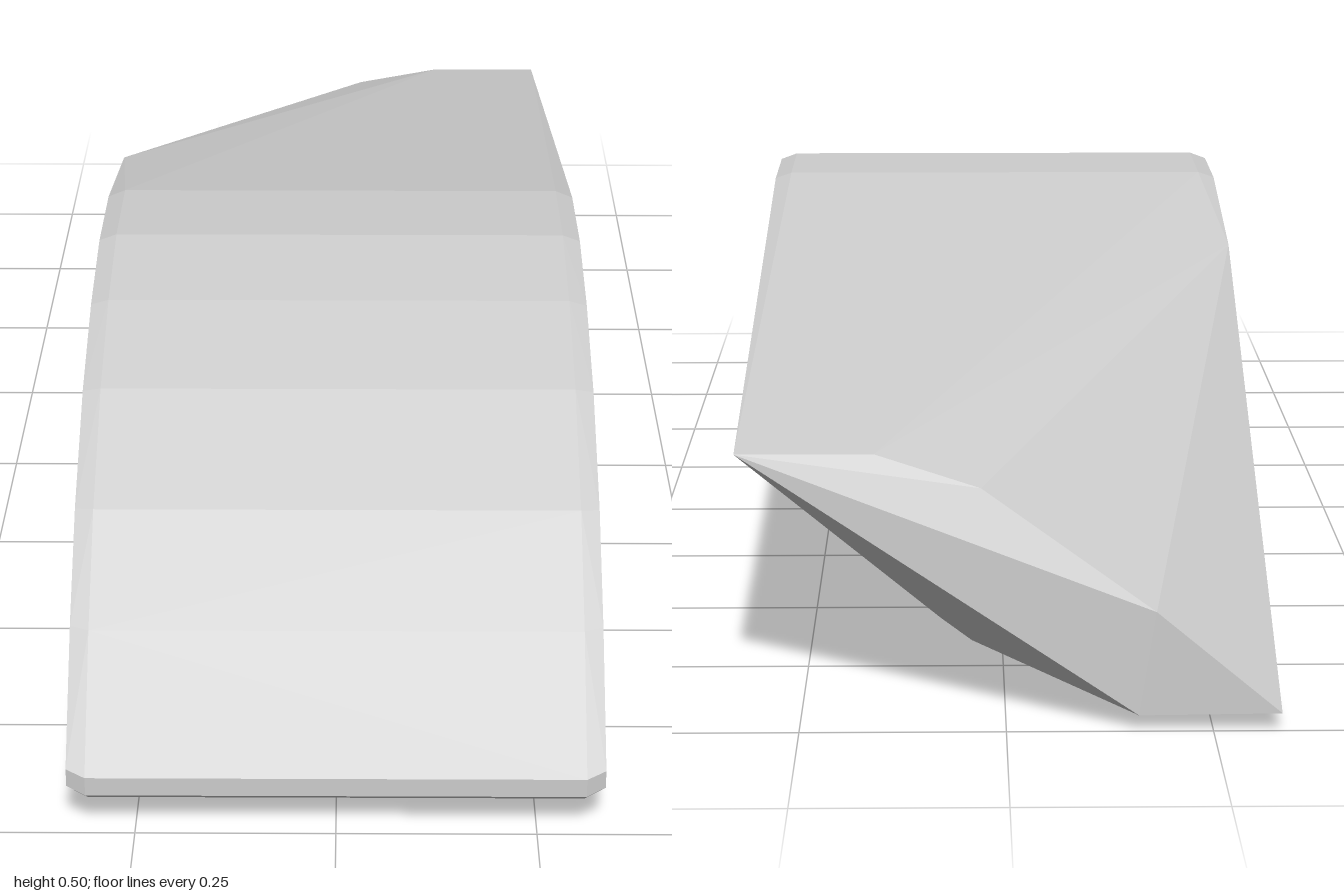
import * as THREE from 'three';
import { ConvexGeometry } from 'three/addons/geometries/ConvexGeometry.js';

// Arched side profile as [z, y], from the underside around the nose to the crown
const PROFILE = [
  [0.7, 0.008], [0.84, 0.008], [0.92, 0.014], [0.97, 0.033], [1, 0.055], [1, 0.08],
  [0.88, 0.22], [0.76, 0.327], [0.6, 0.42], [0.44, 0.475], [0.28, 0.503], [0.11, 0.5],
];

export function createModel() {
  const points = [];
  const add = (x, y, z) => points.push(new THREE.Vector3(x, y, z));

  // Arched front, with a narrow bevel along both sides
  for (const side of [-1, 1]) {
    for (const [z, y] of PROFILE) {
      add(side * 0.31, y, z);
      add(side * 0.334, 0.25 + (y - 0.25) * 0.965, 0.3 + (z - 0.3) * 0.985);
    }
    add(side * 0.338, 0.25, 0.3);
  }

  // Raised tip at the back left
  add(0.33, 0.32, -0.9);
  add(0.16, 0.32, -0.9);
  add(0.03, 0.285, -0.93);

  // Back right corner, sloping down from the crown
  add(-0.333, 0.44, -0.17);
  add(-0.333, 0.022, -1);
  add(-0.18, 0.15, -1);
  add(-0.16, 0.02, -1);

  // Slightly bowed underside and the corner of the undercut
  add(0.08, 0, 0.3);
  add(0.04, 0.005, -0.66);
  add(0.08, 0.045, -0.69);

  const body = new THREE.Mesh(
    new ConvexGeometry(points),
    new THREE.MeshStandardMaterial({ color: 0xcccccc, flatShading: true })
  );
  body.name = 'wedgeBody';

  const group = new THREE.Group();
  group.name = 'archedWedge';
  group.add(body);
  return group;
}
